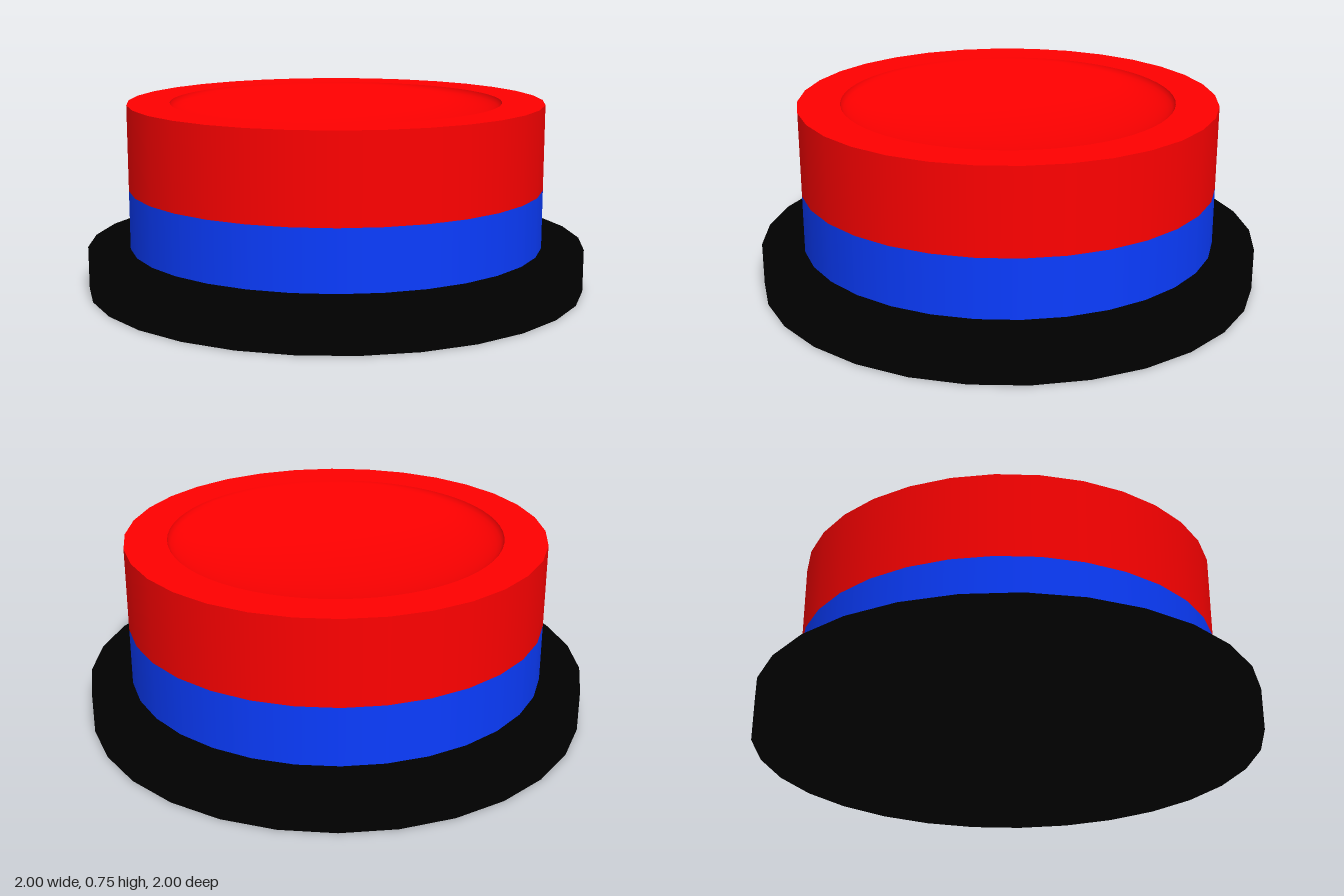
import * as THREE from 'three';

const paint = (color) => new THREE.MeshStandardMaterial({ color });

export function createModel() {
  const model = new THREE.Group();
  const black = paint(0x000000), blue = paint(0x0a3cff), red = paint(0xff0000);
  const baseTop = 0.17, seam = 0.405, top = 0.745;
  const capR = 0.835, dishR = 0.665, dishDepth = 0.1;

  const add = (name, geometry, material, y = 0, parent = model) => {
    const mesh = new THREE.Mesh(geometry, material);
    mesh.name = name;
    mesh.position.y = y;
    parent.add(mesh);
    return mesh;
  };

  // Wide base disc, an odd-sided polygon with a corner on +x
  add('base', new THREE.CylinderGeometry(1.003, 1.003, baseTop, 29, 1, false, Math.PI / 2),
    black, baseTop / 2);

  // Coloured collar
  add('collar', new THREE.CylinderGeometry(capR, capR, seam - baseTop, 32),
    blue, (seam + baseTop) / 2);

  // Push cap: side wall, flat rim and hollowed dish
  const cap = new THREE.Group();
  cap.name = 'pushCap';
  model.add(cap);
  add('capWall', new THREE.CylinderGeometry(capR, capR, top - seam, 32, 1, true),
    red, (top + seam) / 2, cap);

  const circle = (r, n) => Array.from({ length: n }, (_, i) => {
    const a = (i / n) * Math.PI * 2;
    return new THREE.Vector2(Math.cos(a) * r, Math.sin(a) * r);
  });
  const rim = new THREE.Shape(circle(capR, 32));
  rim.holes.push(new THREE.Path(circle(dishR, 64)));
  add('capRim', new THREE.ShapeGeometry(rim).rotateX(-Math.PI / 2), red, top, cap);

  // Shallow bowl, steeper toward its edge
  const profile = [];
  for (let i = 0; i <= 16; i++) {
    const a = (i / 16) * Math.PI / 2;
    profile.push(new THREE.Vector2(dishR * Math.cos(a), -dishDepth * Math.sin(a)));
  }
  profile[16].x = 0;
  add('capDish', new THREE.LatheGeometry(profile, 64), red, top, cap);

  model.children.forEach((part) => { part.position.x = -0.003; });
  return model;
}
